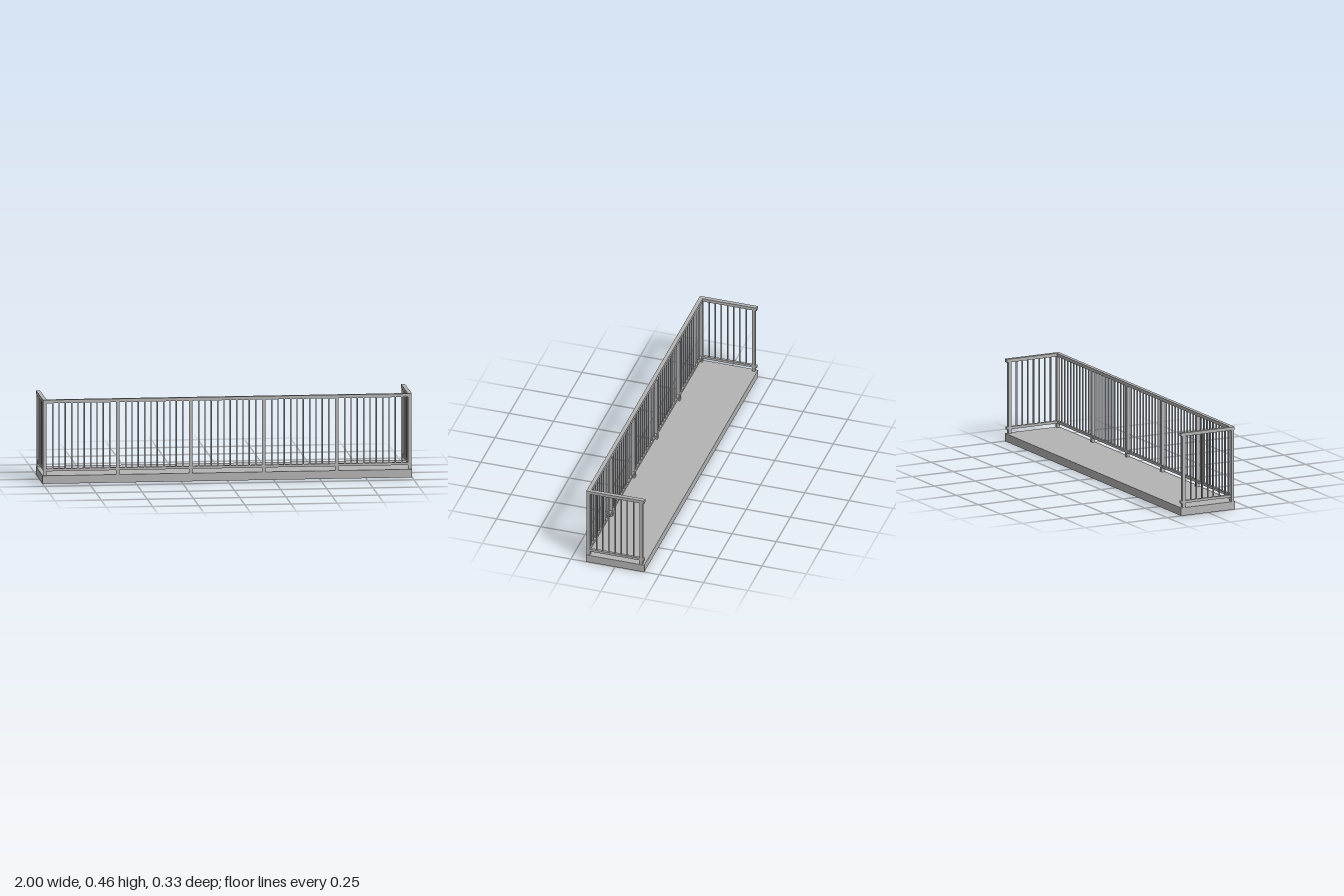
import * as THREE from 'three';

export function createModel() {
  const model = new THREE.Group();
  const grey = new THREE.MeshStandardMaterial({ color: 0xb4b4b4 });
  grey.name = 'grey';

  // Box given by its size and centre
  function box(name, parent, w, h, d, x, y, z) {
    const mesh = new THREE.Mesh(new THREE.BoxGeometry(w, h, d), grey);
    mesh.name = name;
    mesh.position.set(x, y, z);
    parent.add(mesh);
  }

  const SLAB = 0.044, TOP = 0.456, POST = 0.018, BAR = 0.0065;
  const sideX = 0.988, frontZ = 0.152, backZ = -0.145;
  const postH = 0.44 - SLAB, postY = SLAB + postH / 2;
  const barH = 0.44 - 0.074, barY = 0.074 + barH / 2;

  // Floor slab
  box('floorSlab', model, 2, SLAB, 0.33, 0, SLAB / 2, 0);

  // Front railing: rails, six posts, ten balusters in each bay
  const front = new THREE.Group();
  front.name = 'frontRailing';
  model.add(front);
  box('topRail', front, 1.996, 0.018, 0.022, 0, TOP - 0.009, frontZ);
  box('bottomRail', front, 1.976, 0.014, 0.014, 0, 0.074, frontZ);
  const bays = 5, bay = 2 * sideX / bays;
  for (let i = 0; i <= bays; i++) {
    const x = -sideX + i * bay;
    box('post', front, POST, postH, POST, x, postY, frontZ);
    if (i === bays) continue;
    for (let j = 0; j < 10; j++) {
      const bx = x + bay / 2 + (j - 4.5) * 0.0342;
      box('baluster', front, BAR, barH, BAR, bx, barY, frontZ);
    }
  }

  // Side railings: rails run slightly past the back post
  for (const s of [-1, 1]) {
    const side = new THREE.Group();
    side.name = s > 0 ? 'leftRailing' : 'rightRailing';
    model.add(side);
    const x = s * sideX, back = -0.164;
    const topFront = frontZ - 0.011;
    box('topRail', side, 0.022, 0.018, topFront - back, x, TOP - 0.009, (topFront + back) / 2);
    box('bottomRail', side, 0.014, 0.014, frontZ - back, x, 0.074, (frontZ + back) / 2);
    box('backPost', side, POST, postH, POST, x, postY, backZ);
    for (let j = 0; j < 7; j++) {
      box('baluster', side, BAR, barH, BAR, x, barY, 0.0037 + (j - 3) * 0.0347);
    }
  }
  return model;
}
